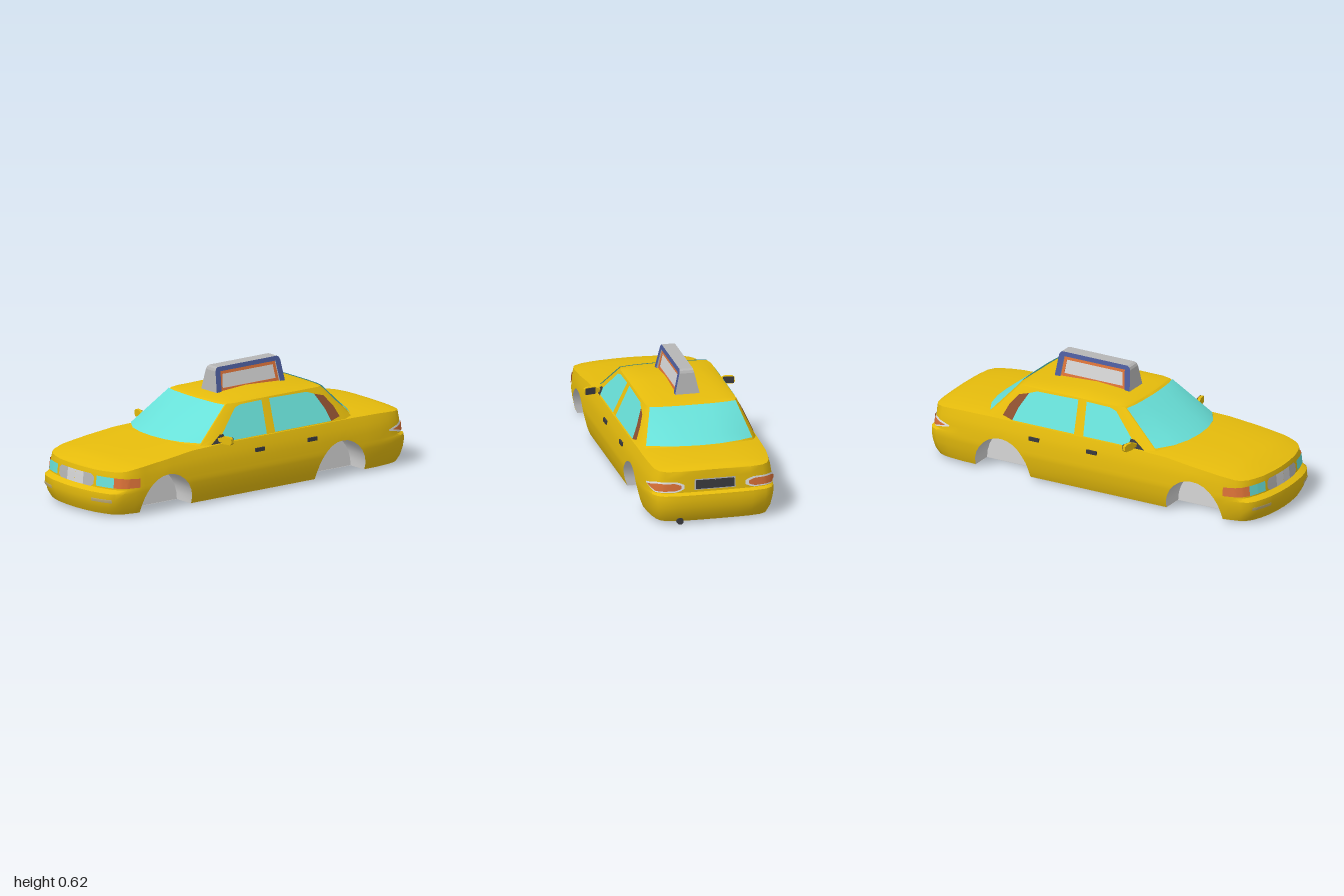
import * as THREE from 'three';
import { toCreasedNormals } from 'three/addons/utils/BufferGeometryUtils.js';

const mat = (name, color) => new THREE.MeshStandardMaterial({ name, color, side: THREE.DoubleSide });
const V = (x, y, z) => new THREE.Vector3(x, y, z);
const lerp = THREE.MathUtils.lerp;

// piecewise linear lookup in [position, value] pairs with rising positions
function lookup(table, p) {
  if (p <= table[0][0]) return table[0][1];
  for (let i = 1; i < table.length; i++) {
    const [a, va] = table[i - 1], [b, vb] = table[i];
    if (p <= b) return lerp(va, vb, (p - a) / (b - a));
  }
  return table[table.length - 1][1];
}

// surface through rows of points, empty triangles left out
function grid(rows, crease = 0.6) {
  const w = rows[0].length, pts = rows.flat(), index = [];
  const tri = (a, b, c) => {
    const [p, q, r] = [pts[a], pts[b], pts[c]];
    if (Math.min(p.distanceTo(q), q.distanceTo(r), r.distanceTo(p)) > 1e-5) index.push(a, b, c);
  };
  for (let j = 0; j < rows.length - 1; j++) for (let i = 0; i < w - 1; i++) {
    const a = j * w + i;
    tri(a, a + w, a + 1);
    tri(a + 1, a + w, a + w + 1);
  }
  const g = new THREE.BufferGeometry().setFromPoints(pts);
  g.setIndex(index);
  return toCreasedNormals(g, crease);
}

// half ring from nose to tail becomes a closed ring
const closeRing = half => [...half, ...half.slice(0, -1).reverse().map(p => V(-p.x, p.y, p.z))].reverse();
const shapeOf = pts => new THREE.Shape(pts.map(p => new THREE.Vector2(...p)));

// plan outline of the body from nose centre to tail centre, with points round both wheel arches
const FLOOR = 0.015, ARCHES = [0.615, -0.53], ARCH_R = 0.165, WELL_X = 0.2;
const WIDTH = [[-0.7, 0.344], [-0.4, 0.348], [0.62, 0.348], [0.78, 0.336]];
const archColumns = c => Array.from({ length: 15 }, (_, i) => {
  const z = c + ARCH_R * Math.cos(Math.PI * i / 14);
  return [lookup(WIDTH, z), z];
});
const C = [[0, 0.997], [0.07, 0.994], [0.143, 0.986], [0.16, 0.984], [0.215, 0.97], [0.265, 0.952], [0.295, 0.93],
  [0.315, 0.89], [0.329, 0.82], ...archColumns(ARCHES[0]), [0.348, 0.2], [0.348, -0.1], ...archColumns(ARCHES[1]),
  [0.341, -0.78], [0.333, -0.86], [0.322, -0.93], [0.303, -0.965], [0.27, -0.985], [0.2, -0.996], [0.12, -0.999], [0, -1]];
const N = C.length - 1;
const SIDE_IN = [[0.015, 0.03], [0.05, 0.016], [0.1, 0.006], [0.14, 0], [0.21, 0.004], [0.26, 0.012], [0.302, 0.026]];
const FRONT_IN = [[0.015, 0.03], [0.05, 0.012], [0.095, 0], [0.13, 0.003], [0.147, 0.036], [0.21, 0.042], [0.235, 0.047]];
const REAR_IN = [[0.015, 0.035], [0.05, 0.015], [0.095, 0.003], [0.13, 0], [0.162, 0.002], [0.172, 0.025], [0.29, 0.028]];
const EDGE = [[-1, 0.285], [-0.8, 0.298], [-0.6, 0.302], [0.3, 0.302], [0.45, 0.295], [0.7, 0.268], [0.9, 0.243], [0.99, 0.235]];
const CENTRE = [[-1, 0.288], [-0.97, 0.303], [-0.9, 0.312], [-0.7, 0.32], [-0.6, 0.318], [0.45, 0.31], [0.7, 0.287],
  [0.9, 0.262], [0.95, 0.25], [0.99, 0.235]];

function archY(z) {
  for (const c of ARCHES) {
    const d = (z - c) / ARCH_R;
    if (Math.abs(d) < 0.9999) return FLOOR + 0.185 * Math.sqrt(1 - d * d);
  }
  return FLOOR;
}

// point on the body side at outline position k and height y
function bodyPoint(k, y, off = 0) {
  const at = q => {
    const i = Math.min(N - 1, Math.max(0, Math.floor(q))), f = q - i;
    return [lerp(C[i][0], C[i + 1][0], f), lerp(C[i][1], C[i + 1][1], f)];
  };
  const [cx, cz] = at(k), a = at(Math.max(0, k - 0.3)), b = at(Math.min(N, k + 0.3));
  const tx = b[0] - a[0], tz = b[1] - a[1], len = Math.hypot(tx, tz);
  const w = THREE.MathUtils.clamp((Math.abs(cz) - 0.8) / 0.13, 0, 1);
  return V(cx * (1 - lookup(SIDE_IN, y) / 0.347) - off * tz / len, y,
    cz - Math.sign(cz) * w * lookup(cz > 0 ? FRONT_IN : REAR_IN, y) + off * tx / len);
}

function bodyGeometry() {
  const rows = [0.015, 0.05, 0.095, 0.13, 0.147, 0.162, 0.172, 0.21].map(y =>
    C.map(([, z], k) => bodyPoint(k, Math.max(y, archY(z)))));
  for (const f of [0.5, 1]) rows.push(C.map(([, z], k) => bodyPoint(k, lerp(0.21, lookup(EDGE, z), f))));
  const rim = rows[rows.length - 1];
  for (const s of [0.96, 0.88, 0.75, 0.5, 0.25, 0]) rows.push(rim.map((p, k) =>
    V(p.x * s, lerp(p.y, lookup(CENTRE, C[k][1]), 1 - s ** 3), p.z)));
  return grid(rows.map(closeRing));
}

// thin plate lying on the body; low and high give its edges for f from 0 to 1
function bodyPlate(k0, k1, low, high, off = 0.005) {
  const rows = [];
  for (let j = 0; j <= 4; j++) rows.push(Array.from({ length: 17 }, (_, i) =>
    bodyPoint(lerp(k0, k1, i / 16), lerp(low(i / 16), high(i / 16), j / 4), off)).reverse());
  return grid(rows);
}

// cabin columns: bottom x, y, z then top x, z
const CABIN = [[0, 0.297, 0.475, 0, 0.165], [0.1, 0.297, 0.467, 0.09, 0.163], [0.2, 0.297, 0.438, 0.17, 0.158],
  [0.293, 0.297, 0.375, 0.228, 0.148], [0.318, 0.295, 0.31, 0.24, 0.1], [0.318, 0.295, -0.1, 0.24, -0.12],
  [0.318, 0.295, -0.575, 0.24, -0.45], [0.287, 0.3, -0.635, 0.226, -0.475], [0.2, 0.305, -0.68, 0.17, -0.485],
  [0.1, 0.305, -0.703, 0.09, -0.49], [0, 0.305, -0.71, 0, -0.49]];
const ROOF_Y = 0.478;
const cabinPoint = ([x, y, z, tx, tz], t) => V(lerp(x, tx, t), lerp(y, ROOF_Y, t), lerp(z, tz, t));
const cabinSideX = y => lerp(0.318, 0.24, (y - 0.295) / (ROOF_Y - 0.295));

function cabinGeometry() {
  const rows = [0, 0.25, 0.5, 0.75, 1].map(t => CABIN.map(c => cabinPoint(c, t)));
  // arched roof closing on the centre line
  for (const s of [0.94, 0.8, 0.6, 0.3, 0]) rows.push(CABIN.map(c =>
    V(c[3] * s, ROOF_Y + 0.026 * (1 - s ** 5) * (1 - Math.abs((c[4] + 0.162) / 0.328) ** 3), c[4])));
  return grid(rows.map(closeRing), 0.5);
}

function screenGeometry(from, to, t0, t1, dy, dz) {
  const half = CABIN.slice(from, to + 1);
  if (half[0][0] === 0) half.reverse();
  const full = [...half, ...half.slice(0, -1).reverse().map(([x, y, z, tx, tz]) => [-x, y, z, -tx, tz])];
  return grid([t0, 0.25, 0.5, 0.75, t1].map(t => full.map(c => cabinPoint(c, t).add(V(0, dy, dz)))));
}

// flat pane on the cabin side from [z, y] corners
function sidePane(pts) {
  const g = new THREE.ShapeGeometry(shapeOf(pts)), p = g.attributes.position;
  for (let i = 0; i < p.count; i++) p.setXYZ(i, cabinSideX(p.getY(i)) + 0.004, p.getY(i), p.getX(i));
  g.setIndex([...g.index.array].reverse());
  g.computeVertexNormals();
  return g;
}

// roof sign part from a [z, y] outline, narrowing toward the top
function signGeometry(pts, width, hole) {
  const shape = shapeOf(pts);
  if (hole) shape.holes.push(shapeOf(hole));
  const g = new THREE.ExtrudeGeometry(shape, { depth: 1, bevelEnabled: false }), p = g.attributes.position;
  for (let i = 0; i < p.count; i++) {
    const y = p.getY(i), hw = width * lerp(0.065, 0.035, (y - 0.49) / 0.13);
    p.setXYZ(i, (0.5 - p.getZ(i)) * 2 * hw, y, p.getX(i));
  }
  g.computeVertexNormals();
  return g;
}

export function createModel() {
  const yellow = mat('yellow paint', 0xe6bc0c), glass = mat('turquoise glass', 0x68e0d8), light = mat('light grey', 0xd6d6d6),
    grey = mat('mid grey', 0xb6b6b6), black = mat('black trim', 0x3a3a3e), orange = mat('orange', 0xdc7238),
    brown = mat('brown pane', 0x8e5030), blue = mat('blue frame', 0x4c5c9c), white = mat('white trim', 0xf6f6f6),
    beige = mat('beige fog lamp', 0xc8b47c);
  const car = new THREE.Group();
  car.name = 'taxi';
  const add = (name, geometry, material, parent = car) => {
    const m = new THREE.Mesh(geometry, material);
    m.name = name;
    parent.add(m);
  };
  add('body', bodyGeometry(), yellow);
  add('cabin', cabinGeometry(), yellow);
  add('windshield', screenGeometry(0, 3, 0.06, 0.96, 0.005, 0.004), glass);
  add('rearWindow', screenGeometry(7, 10, 0.08, 0.97, 0.005, -0.005), glass);

  // floor with notches for the wheel wells
  const half = [];
  C.forEach(([, z], k) => {
    const p = bodyPoint(k, FLOOR), open = archY(z) > FLOOR + 1e-4;
    const nextOpen = k < N && archY(C[k + 1][1]) > FLOOR + 1e-4, lastOpen = k > 0 && archY(C[k - 1][1]) > FLOOR + 1e-4;
    if (!open && lastOpen) half.push([WELL_X, z]);
    if (!open) half.push([p.x, p.z]);
    if (!open && nextOpen) half.push([WELL_X, z]);
  });
  const floor = new THREE.ShapeGeometry(shapeOf([...half, ...half.slice(1, -1).reverse().map(([x, z]) => [-x, z])]));
  add('floor', floor.rotateX(Math.PI / 2).translate(0, FLOOR - 0.002, 0), grey);

  const flat = v => () => v;
  const cut = f => 0.015 * Math.max(0, f * 4 - 3);
  for (const s of [1, -1]) {
    const side = new THREE.Group();
    side.name = s > 0 ? 'leftSide' : 'rightSide';
    side.scale.x = s;
    car.add(side);
    const put = (name, g, m) => add(name, g, m, side);

    // grille and front lamps
    put('grilleCentre', bodyPlate(0, 0.93, flat(0.148), flat(0.213)), light);
    put('grilleEnd', bodyPlate(0.93, 2, f => 0.148 + cut(f), f => 0.213 - cut(f)), grey);
    put('headlamp', bodyPlate(3, 5, flat(0.156), flat(0.209)), glass);
    put('turnLamp', bodyPlate(5, 8.6, flat(0.156), f => 0.209 - 0.006 * f), orange);
    put('fogLamp', bodyPlate(3.1, 5.6, flat(0.082), flat(0.1)), beige);

    // tail lamps and number plate recess
    put('recessTrim', bodyPlate(N - 0.92, N, flat(0.184), flat(0.242), 0.003), grey);
    put('numberPlateRecess', bodyPlate(N - 0.86, N, flat(0.189), flat(0.237), 0.006), black);
    const lampPlate = (a, b, h, off) => {
      const bulge = f => h * Math.min(1, 0.12 + f * 2.2, 0.4 + (1 - f) * 6);
      return bodyPlate(a, b, f => 0.204 - bulge(f), f => 0.204 + bulge(f), off);
    };
    put('tailLampTrim', lampPlate(N - 6.1, N - 1.55, 0.028, 0.004), white);
    put('tailLamp', lampPlate(N - 5.6, N - 1.75, 0.02, 0.008), orange);

    // side windows
    put('frontSideWindow', sidePane([[0.265, 0.313], [0.23, 0.306], [-0.05, 0.306], [-0.07, 0.47], [0.07, 0.468], [0.11, 0.457]]), glass);
    put('rearSideWindow', sidePane([[-0.105, 0.307], [-0.475, 0.307], [-0.455, 0.37], [-0.41, 0.45], [-0.365, 0.466], [-0.12, 0.471]]), glass);
    put('quarterPane', sidePane([[-0.475, 0.307], [-0.535, 0.322], [-0.51, 0.38], [-0.465, 0.435], [-0.41, 0.45], [-0.455, 0.37]]), brown);

    // door handles and mirror
    for (const z of [0.015, -0.33])
      put('doorHandle', new THREE.BoxGeometry(0.012, 0.02, 0.06).translate(0.341, 0.238, z), black);
    put('mirrorBase', sidePane([[0.318, 0.304], [0.222, 0.304], [0.226, 0.345], [0.25, 0.345]]).translate(0.003, 0, 0), black);
    const outline = [[0.295, 0.316], [0.33, 0.311], [0.345, 0.305], [0.39, 0.306], [0.4, 0.316], [0.398, 0.338],
      [0.385, 0.346], [0.345, 0.345], [0.33, 0.337], [0.295, 0.326]];
    const mirror = new THREE.ExtrudeGeometry(shapeOf(outline), { depth: 0.016, bevelEnabled: false });
    const angle = g => g.translate(-0.35, 0, 0).rotateY(0.2).translate(0.35, 0, 0.245);
    put('mirror', angle(mirror), yellow);
    put('mirrorBack', angle(new THREE.BoxGeometry(0.056, 0.034, 0.004).translate(0.367, 0.326, -0.003)), black);

    // wheel wells: arched liner and inner wall
    for (const c of ARCHES) {
      const first = C.findIndex(([, z]) => Math.abs(z - c - ARCH_R) < 1e-6);
      const rim = Array.from({ length: 15 }, (_, i) => bodyPoint(first + i, archY(C[first + i][1])));
      put('wheelWell', grid([rim, rim.map(p => V(WELL_X, p.y, p.z))]), light);
      const wall = new THREE.ShapeGeometry(shapeOf(rim.map(p => [-p.z, p.y])));
      put('wheelWellWall', wall.rotateY(Math.PI / 2).translate(WELL_X, 0, 0), light);
    }
  }

  // exhaust pipe
  add('exhaust', new THREE.CylinderGeometry(0.018, 0.018, 0.08, 14).rotateX(Math.PI / 2).translate(0.185, 0.019, -0.94), black);

  // roof sign
  const sign = new THREE.Group();
  sign.name = 'roofSign';
  car.add(sign);
  const outer = [[0.08, 0.485], [0.068, 0.6], [0.062, 0.613], [0.05, 0.62], [-0.34, 0.62], [-0.352, 0.613], [-0.358, 0.6], [-0.37, 0.485]];
  const inner = [[-0.338, 0.485], [-0.326, 0.597], [0.036, 0.597], [0.048, 0.485]];
  const panel = [[-0.32, 0.508], [-0.312, 0.58], [0.022, 0.58], [0.03, 0.508]];
  add('signFrame', signGeometry([...outer, ...inner], 1), [blue, grey], sign);
  add('signBorder', signGeometry(inner, 0.86, panel), orange, sign);
  add('signPanel', signGeometry(inner, 0.8), light, sign);
  return car;
}
